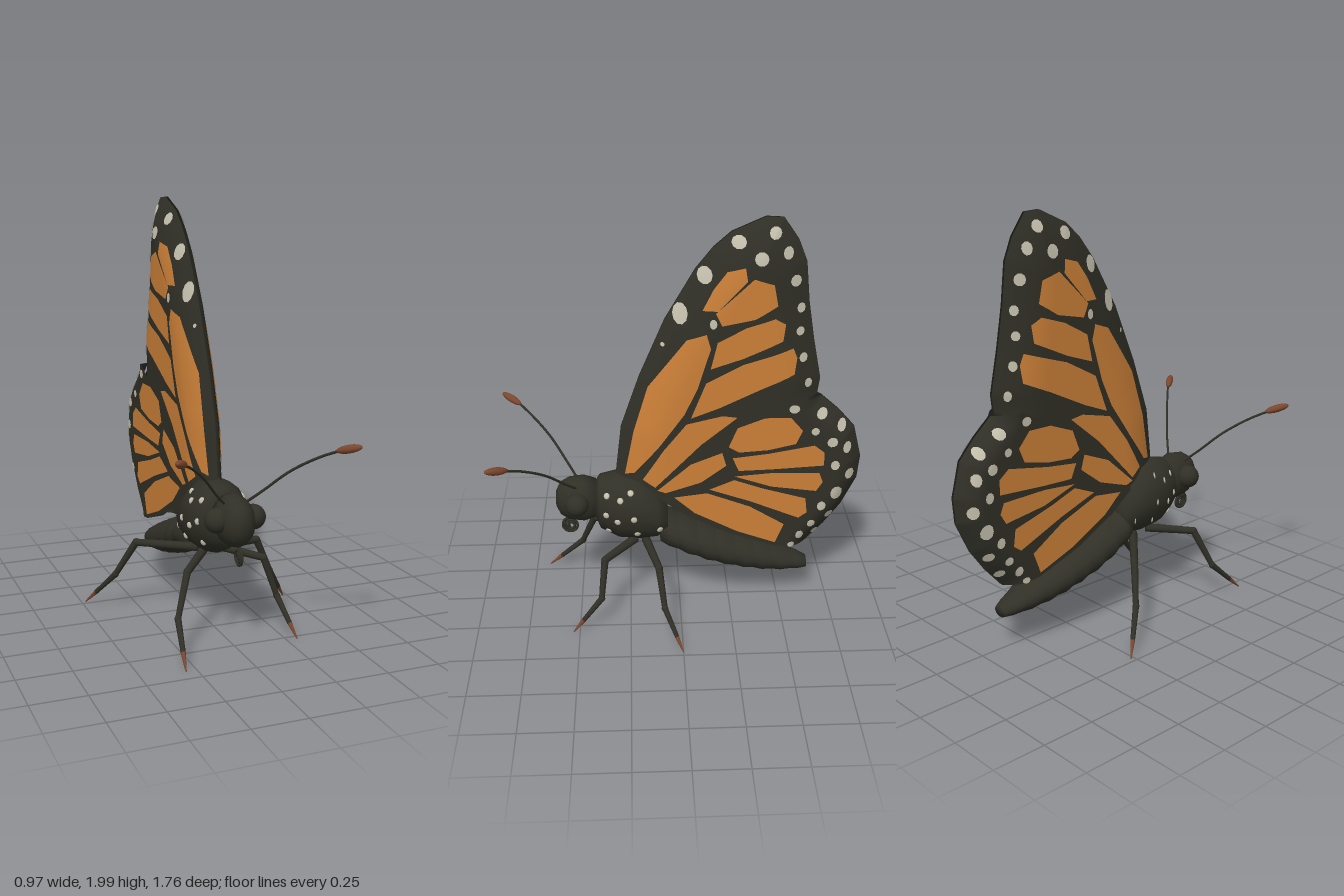
import * as THREE from 'three';
import { mergeVertices } from 'three/addons/utils/BufferGeometryUtils.js';

const paint = (name, color) => {
  const m = new THREE.MeshStandardMaterial({ color, side: THREE.DoubleSide });
  m.name = name;
  return m;
};
const V = (x, y, z) => new THREE.Vector3(x, y, z);

// Wing outlines, orange cells and pale spots as [z, y]; spots add two radii
const foreWing = {
  outline: [[.31, .73], [.28, .98], [.19, 1.24], [.07, 1.52], [-.07, 1.76], [-.15, 1.86], [-.23, 1.93], [-.38, 1.995], [-.46, 1.99],
    [-.53, 1.89], [-.57, 1.79], [-.59, 1.6], [-.62, 1.42], [-.66, 1.22], [-.65, 1.14], [-.39, 1.04], [-.07, .76], [.11, .64]],
  rim: [0, 14], bulge: .067, reach: .23,
  cells: [
    [[.265, .74], [.22, .97], [.15, 1.2], [-.03, 1.44], [-.12, 1.47], [-.14, 1.4], [-.08, 1.2], [-.02, 1.07], [.1, .9], [.22, .75]],
    [[-.1, 1.58], [-.15, 1.68], [-.21, 1.76], [-.29, 1.78], [-.3, 1.72], [-.17, 1.58]],
    [[-.16, 1.57], [-.33, 1.73], [-.42, 1.7], [-.44, 1.6], [-.34, 1.54], [-.19, 1.51]],
    [[-.14, 1.3], [-.17, 1.43], [-.3, 1.5], [-.43, 1.54], [-.48, 1.51], [-.47, 1.43], [-.29, 1.35]],
    [[-.05, 1.05], [-.12, 1.23], [-.29, 1.32], [-.52, 1.39], [-.54, 1.34], [-.53, 1.26], [-.39, 1.2], [-.18, 1.1]],
    [[.18, .72], [.08, .88], [-.03, 1.02], [-.2, 1.06], [-.27, 1.05], [-.1, .91], [.12, .68]],
  ],
  spots: [[0, 1.56, .035, .05], [-.11, 1.74, .035, .04], [-.26, 1.89, .034, .03], [-.42, 1.93, .028, .028], [-.36, 1.82, .032, .032],
    [-.48, 1.84, .024, .03], [-.52, 1.71, .026, .028], [-.55, 1.58, .02, .024], [-.55, 1.47, .02, .022], [-.57, 1.34, .02, .024],
    [-.6, 1.21, .018, .024], [-.15, 1.52, .017, .024], [.08, 1.41, .01, .01]],
};
const hindWing = {
  outline: [[-.67, 1.13], [-.76, 1.05], [-.84, .96], [-.88, .8], [-.87, .68], [-.8, .53], [-.72, .42], [-.63, .32], [-.47, .34],
    [-.23, .42], [-.02, .53], [.1, .62], [.1, .67], [-.1, .88], [-.3, 1.03], [-.48, 1.1], [-.55, 1.14]],
  rim: [0, 7], bulge: .077, reach: .11,
  cells: [
    [[.11, .67], [-.05, .81], [-.2, .87], [-.22, .8], [-.1, .71], [.07, .655]],
    [[-.23, .9], [-.27, 1], [-.4, 1.05], [-.52, 1.05], [-.58, .98], [-.55, .91], [-.42, .88], [-.28, .87]],
    [[-.25, .84], [-.42, .86], [-.64, .9], [-.69, .86], [-.69, .79], [-.44, .775], [-.28, .77]],
    [[-.26, .74], [-.44, .755], [-.67, .75], [-.69, .7], [-.66, .65], [-.44, .68]],
    [[-.14, .67], [-.26, .72], [-.4, .67], [-.61, .61], [-.62, .53], [-.58, .5], [-.34, .6]],
    [[.03, .63], [-.13, .65], [-.34, .57], [-.51, .465], [-.47, .36], [-.28, .43], [-.07, .54]],
  ],
  spots: [[-.535, 1.095, .026, .022], [-.67, 1.06, .028, .026], [-.77, .99, .024, .028], [-.64, .975, .02, .02], [-.725, .915, .026, .026],
    [-.8, .88, .022, .03], [-.82, .735, .024, .03], [-.745, .79, .022, .026], [-.76, .635, .03, .038], [-.69, .565, .022, .026],
    [-.735, .5, .022, .024], [-.645, .465, .02, .022], [-.67, .4, .02, .022], [-.59, .4, .02, .026], [-.55, .345, .018, .016]],
};

// Fan from the middle of a polygon, each triangle quartered several times
function fan(points, levels) {
  const c = [0, 1].map(k => points.reduce((s, p) => s + p[k], 0) / points.length);
  let tris = points.map((p, i) => [c, p, points[(i + 1) % points.length]]);
  const mid = (a, b) => [(a[0] + b[0]) / 2, (a[1] + b[1]) / 2];
  for (let n = 0; n < levels; n++) {
    tris = tris.flatMap(([a, b, d]) => {
      const ab = mid(a, b), bd = mid(b, d), da = mid(d, a);
      return [[a, ab, da], [ab, b, bd], [da, bd, d], [ab, bd, da]];
    });
  }
  return tris.flat();
}

// Wing surface: close to the centre plane at its rim, bulging outward inside it
function wingSheet(wing, points, levels, lift) {
  const rim = wing.outline.slice(wing.rim[0], wing.rim[1] + 1);
  const rimDistance = (z, y) => {
    let best = Infinity;
    for (let i = 0; i + 1 < rim.length; i++) {
      const [az, ay] = rim[i], dz = rim[i + 1][0] - az, dy = rim[i + 1][1] - ay;
      const t = THREE.MathUtils.clamp(((z - az) * dz + (y - ay) * dy) / (dz * dz + dy * dy), 0, 1);
      best = Math.min(best, Math.hypot(z - az - t * dz, y - ay - t * dy));
    }
    return best;
  };
  const pos = fan(points, levels).flatMap(([z, y]) => {
    const k = 1 - Math.min(1, rimDistance(z, y) / wing.reach);
    return [.006 + wing.bulge * (1 - k * k) + lift, y, z];
  });
  let g = new THREE.BufferGeometry();
  g.setAttribute('position', new THREE.Float32BufferAttribute(pos, 3));
  g = mergeVertices(g, 1e-5);
  g.computeVertexNormals();
  return g;
}

// Closed body from oval cross-sections [z, centre y, half width, half height]
function loft(sections, sides = 16) {
  const rings = [[...sections[0].slice(0, 2), 0, 0], ...sections, [...sections.at(-1).slice(0, 2), 0, 0]];
  const pos = [], index = [];
  rings.forEach(([z, y, rx, ry], i) => {
    for (let j = 0; j < sides; j++) {
      const a = j / sides * Math.PI * 2, p = i * sides + j, q = i * sides + (j + 1) % sides;
      pos.push(rx * Math.cos(a), y + ry * Math.sin(a), z);
      if (i + 1 < rings.length) index.push(p, p + sides, q, q, p + sides, q + sides);
    }
  });
  const g = new THREE.BufferGeometry();
  g.setAttribute('position', new THREE.Float32BufferAttribute(pos, 3));
  g.setIndex(index);
  g.computeVertexNormals();
  return g;
}

export function createModel() {
  const model = new THREE.Group();
  model.name = 'butterfly';
  const dark = paint('charcoal', 0x303027), orange = paint('orange', 0xcc8038);
  const cream = paint('cream', 0xc6c1ae), brown = paint('brown', 0x7c472e);
  const add = (parent, name, geometry, material) => {
    const m = new THREE.Mesh(geometry, material);
    m.name = name;
    parent.add(m);
    return m;
  };
  // Tapered rod between two points
  const rod = (parent, name, a, b, r1, r2, material) => {
    const m = add(parent, name, new THREE.CylinderGeometry(r2, r1, a.distanceTo(b), 8), material);
    m.position.copy(a).lerp(b, .5);
    m.quaternion.setFromUnitVectors(V(0, 1, 0), b.clone().sub(a).normalize());
    return m;
  };

  // Head, thorax and segmented abdomen
  add(model, 'head', loft([[.605, .59, .03, .04], [.585, .59, .06, .085], [.54, .59, .08, .112], [.47, .59, .09, .12], [.41, .59, .08, .1]]), dark);
  const thorax = [[.41, .58, .08, .1], [.39, .57, .115, .14], [.3, .555, .145, .175], [.2, .545, .15, .175], [.11, .52, .135, .14], [.06, .49, .1, .08]];
  add(model, 'thorax', loft(thorax), dark);
  const abdomen = [];
  const size = [.115, .13, .138, .138, .13, .118, .1, .075, .04];
  for (let i = 0; i < 8; i++) {
    for (const t of [.03, .5, .97]) {
      const s = THREE.MathUtils.lerp(size[i], size[i + 1], t) * (t === .5 ? 1.03 : .96);
      const u = (i + t) / 8;
      abdomen.push([.1 - .745 * u, .435 - .31 * u + .065 * u * u, s, s * .7]);
    }
  }
  add(model, 'abdomen', loft(abdomen), dark);

  // Coiled tongue under the head
  const coil = [];
  for (let i = 0; i <= 40; i++) {
    const a = i / 40 * Math.PI * 5, r = .043 - .035 * i / 40;
    coil.push(V(0, .435 + r * Math.cos(a), .54 + r * Math.sin(a)));
  }
  coil.unshift(V(0, .5, .51));
  add(model, 'tongue', new THREE.TubeGeometry(new THREE.CatmullRomCurve3(coil), 90, .007, 6), dark);

  for (const side of [1, -1]) {
    const half = new THREE.Group();
    half.name = side > 0 ? 'leftHalf' : 'rightHalf';
    half.scale.x = side;
    model.add(half);

    // Wings with cells and spots
    for (const [name, wing] of [['foreWing', foreWing], ['hindWing', hindWing]]) {
      const g = new THREE.Group();
      g.name = name;
      half.add(g);
      add(g, name + 'Membrane', wingSheet(wing, wing.outline, 4, 0), dark);
      for (const cell of wing.cells) add(g, name + 'Cell', wingSheet(wing, cell, 3, .004), orange);
      for (const [z, y, rz, ry] of wing.spots) {
        const ring = Array.from({ length: 10 }, (_, i) => [z + rz * Math.cos(i * Math.PI / 5), y + ry * Math.sin(i * Math.PI / 5)]);
        add(g, name + 'Spot', wingSheet(wing, ring, 1, .006), cream);
      }
    }

    // Eye
    add(half, 'eye', new THREE.SphereGeometry(.057, 16, 12), dark).position.set(.087, .6, .5);

    // Antenna with a club at its end
    const feeler = new THREE.CatmullRomCurve3([V(.05, .67, .5), V(.11, .73, .55), V(.2, .83, .635), V(.29, .905, .73), V(.355, .945, .8)]);
    add(half, 'antenna', new THREE.TubeGeometry(feeler, 20, .006, 6), dark);
    const club = rod(half, 'antennaClub', V(.34, .94, .785), V(.412, .972, .88), .01, .01, brown);
    club.geometry = new THREE.SphereGeometry(1, 10, 10).scale(.019, .062, .019);

    // Pale dots on the thorax
    for (const [z, y] of [[.355, .655], [.29, .64], [.36, .56], [.305, .53], [.35, .455], [.225, .545], [.21, .45], [.1, .47], [.24, .67]]) {
      const i = thorax.findIndex(s => s[0] < z);
      const t = (thorax[i - 1][0] - z) / (thorax[i - 1][0] - thorax[i][0]);
      const [, cy, rx, ry] = thorax[i].map((v, k) => THREE.MathUtils.lerp(thorax[i - 1][k], v, t));
      const s = (y - cy) / ry, x = rx * Math.sqrt(1 - s * s);
      const dot = add(half, 'thoraxDot', new THREE.SphereGeometry(.016, 8, 6).scale(1, 1, .4), cream);
      dot.position.set(x, y, z);
      dot.lookAt(x + x / rx / rx, y + s / ry, z + (z - .23) * 25);
    }
  }

  // Walking legs: hip, knee, ankle, foot
  const legs = {
    leftFrontLeg: [V(.05, .38, .22), V(.2, .355, .37), V(.26, .17, .39), V(.3, .005, .53)],
    rightFrontLeg: [V(-.05, .38, .24), V(-.2, .355, .43), V(-.27, .17, .5), V(-.3, .005, .68)],
    leftHindLeg: [V(.04, .37, .17), V(.28, .355, .11), V(.365, .18, .085), V(.48, .005, 0)],
    rightHindLeg: [V(-.04, .37, .16), V(-.28, .355, -.06), V(-.365, .18, -.13), V(-.48, .005, -.27)],
  };
  for (const [name, [hip, knee, ankle, foot]] of Object.entries(legs)) {
    const g = new THREE.Group();
    g.name = name;
    model.add(g);
    const toe = ankle.clone().lerp(foot, .65);
    rod(g, 'thigh', hip, knee, .022, .018, dark);
    rod(g, 'shin', knee, ankle, .018, .014, dark);
    rod(g, 'ankle', ankle, toe, .015, .011, dark);
    rod(g, 'foot', toe, foot, .011, .003, brown);
    add(g, 'kneeJoint', new THREE.SphereGeometry(.019, 8, 6), dark).position.copy(knee);
    add(g, 'ankleJoint', new THREE.SphereGeometry(.017, 8, 6), dark).position.copy(ankle);
  }
  return model;
}
